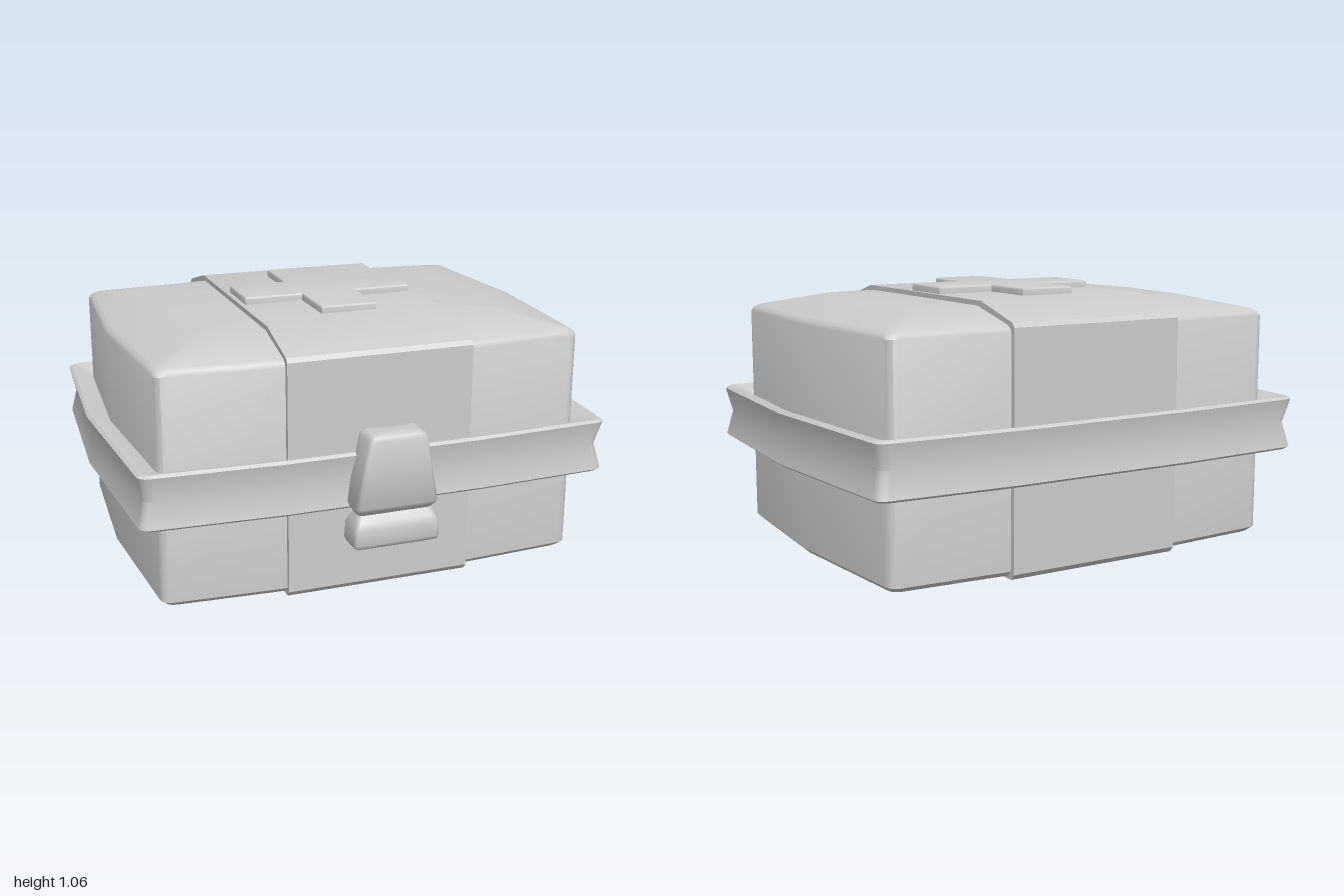
import * as THREE from 'three';
import { toCreasedNormals } from 'three/addons/utils/BufferGeometryUtils.js';

const grey = new THREE.MeshStandardMaterial({ color: 0xcccccc });
const greyDouble = new THREE.MeshStandardMaterial({ color: 0xcccccc, side: THREE.DoubleSide });

// Bowed rectangle outline [x, z]: cx, cz corner; mx, mz bulge of the sides; bend where the front bulge starts
function outline({ cx, cz, mx, mz, bend, r }, inset) {
  const C = [cx - inset, cz - inset], M = [mx - inset, 0], F = [bend, mz - inset];
  const toward = (p) => {
    const d = Math.hypot(p[0] - C[0], p[1] - C[1]);
    return [C[0] + (p[0] - C[0]) * r / d, C[1] + (p[1] - C[1]) * r / d];
  };
  const a = toward(M), b = toward(F), corner = [];
  for (let i = 0; i <= 4; i++) {
    const t = i / 4, u = 1 - t;
    corner.push([0, 1].map((k) => u * u * a[k] + 2 * u * t * C[k] + t * t * b[k]));
  }
  const quarter = [M, ...corner, F];
  const half = [...quarter, ...quarter.slice(1).reverse().map(([x, z]) => [-x, z])];
  return [...half, ...half.map(([x, z]) => [-x, -z])];
}

// Skin a list of rings (each [x, y, z] points), running outward then upward
function loft(rings, crease = 0.6) {
  const pos = [], v = rings.map((ring) => ring.map((p) => new THREE.Vector3(...p)));
  const tri = (a, b, c) => {
    const area = b.clone().sub(a).cross(c.clone().sub(a)).length();
    if (area > 1e-9) for (const p of [a, b, c]) pos.push(p.x, p.y, p.z);
  };
  for (let k = 0; k < v.length - 1; k++) {
    const n = v[k].length;
    for (let i = 0; i < n; i++) {
      const j = (i + 1) % n;
      tri(v[k][i], v[k + 1][i], v[k][j]);
      tri(v[k][j], v[k + 1][i], v[k + 1][j]);
    }
  }
  const g = new THREE.BufferGeometry();
  g.setAttribute('position', new THREE.Float32BufferAttribute(pos, 3));
  return toCreasedNormals(g, crease);
}

const ringAt = (o, inset, y) => outline(o, inset).map(([x, z]) => [x, y, z]);
const pointAt = (ring, y) => ring.map(() => [0, y, 0]);

function part(name, geometry, material = grey) {
  const mesh = new THREE.Mesh(geometry, material);
  mesh.name = name;
  return mesh;
}

export function createModel() {
  const model = new THREE.Group();
  model.name = 'firstAidBox';
  const box = new THREE.Group();
  box.name = 'box';
  box.position.z = -0.055;
  model.add(box);

  // Box body with a shallow domed lid
  const body = { cx: 0.86, cz: 0.66, mx: 0.905, mz: 0.688, bend: 0.4, r: 0.04 };
  const bodyRings = [[0.02, 0.02], [0, 0.04], [0, 0.93], [0.008, 0.945], [0.025, 0.957], [0.24, 1.01]]
    .map(([inset, y]) => ringAt(body, inset, y));
  bodyRings.unshift(pointAt(bodyRings[0], 0.015));
  bodyRings.push(pointAt(bodyRings[0], 1.012));
  box.add(part('body', loft(bodyRings)));

  // Raised centre band wrapping over the box
  const s = new THREE.Shape();
  const half = [[0.69, 0.008], [0.708, 0.03], [0.708, 0.95], [0.695, 0.967], [0.47, 1.03]];
  s.moveTo(0, 0);
  half.forEach(([z, y]) => s.lineTo(z, y));
  [...half].reverse().forEach(([z, y]) => s.lineTo(-z, y));
  s.closePath();
  const band = new THREE.ExtrudeGeometry(s, { depth: 0.75, bevelEnabled: false });
  band.translate(0, 0, -0.375).rotateY(Math.PI / 2);
  box.add(part('centreBand', toCreasedNormals(band, 0.6)));

  // Rim with a pinched outer face and lips dipping towards the body
  const rim = { cx: 0.95, cz: 0.76, mx: 1, mz: 0.787, bend: 0.4, r: 0.04 };
  const rimRings = [[0.12, 0.43], [0.035, 0.384], [0.012, 0.38], [0, 0.39], [0.022, 0.49],
    [0, 0.59], [0.012, 0.6], [0.035, 0.596], [0.12, 0.55]]
    .map(([inset, y]) => ringAt(rim, inset, y));
  box.add(part('rim', loft(rimRings), greyDouble));

  // Cross plate on the lid
  const L = 0.345, w = 0.105, b = 0.01;
  const cross = new THREE.Shape([[w, w], [w, L], [-w, L], [-w, w], [-L, w], [-L, -w],
    [-w, -w], [-w, -L], [w, -L], [w, -w], [L, -w], [L, w]].map((p) => new THREE.Vector2(...p)));
  const plate = new THREE.ExtrudeGeometry(cross, {
    depth: 0.05, bevelThickness: b, bevelSize: b, bevelSegments: 3,
  });
  plate.rotateX(-Math.PI / 2).translate(0, 1.0, 0);
  box.add(part('crossPlate', toCreasedNormals(plate, 0.6)));

  // Front latch: tapered grip, narrow neck and foot, as [y, half width, half depth]
  const latchRings = [[0.245, 0.16, 0.05], [0.252, 0.17, 0.062], [0.265, 0.174, 0.067],
    [0.325, 0.17, 0.067], [0.35, 0.16, 0.058], [0.375, 0.148, 0.035], [0.395, 0.16, 0.055],
    [0.41, 0.165, 0.064], [0.55, 0.139, 0.067], [0.67, 0.117, 0.067], [0.685, 0.108, 0.06],
    [0.692, 0.095, 0.048]]
    .map(([y, hw, hd]) => ringAt({ cx: hw, cz: hd, mx: hw, mz: hd, bend: hw * 0.5, r: 0.022 }, 0, y));
  latchRings.unshift(pointAt(latchRings[0], 0.245));
  latchRings.push(pointAt(latchRings[0], 0.692));
  const latch = part('latch', loft(latchRings, 0.8));
  latch.position.z = 0.768;
  model.add(latch);

  return model;
}
